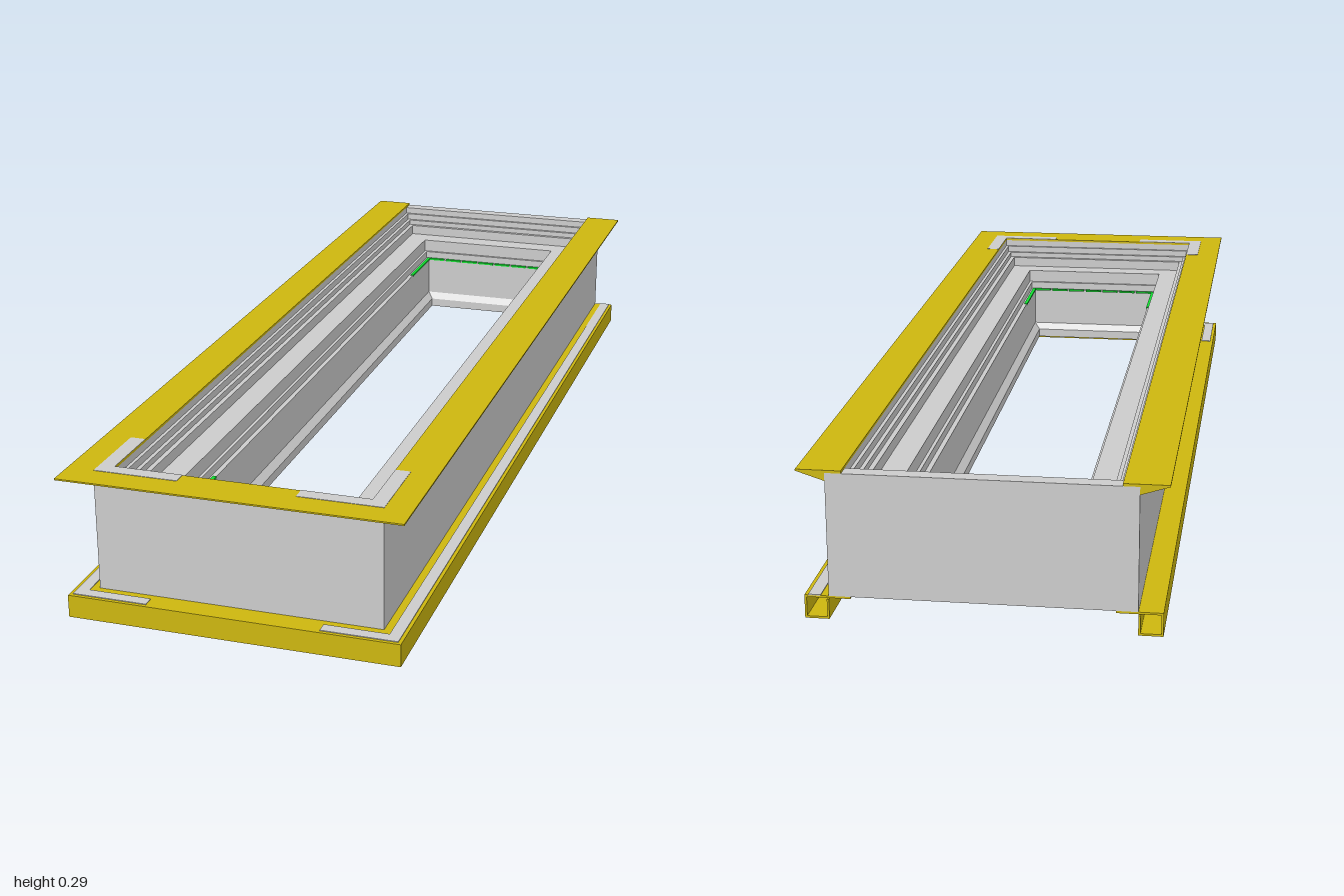
import * as THREE from 'three';

const grey = new THREE.MeshStandardMaterial({ color: 0xcccccc, flatShading: true });
const gold = new THREE.MeshStandardMaterial({ color: 0xccb60f, flatShading: true });
const green = new THREE.MeshStandardMaterial({ color: 0x10e030, flatShading: true });

// Distance from the long axis -> matching front and back position
const frontZ = d => d + 0.667;
const backZ = d => -(d + 0.72);

// Sweeps a counter-clockwise profile of [distance, height] points around the
// frame: a closed ring, or a U that is cut off square at the back.
function sweep(name, profile, material, ring) {
  const corner = (i, [d, y]) => [
    i < 2 ? d : -d, y, i === 1 || i === 2 ? frontZ(d) : ring ? backZ(d) : -1,
  ];
  const pos = [];
  const quad = (a, b, c, d) => pos.push(...a, ...b, ...c, ...a, ...c, ...d);
  for (let s = 0; s < (ring ? 4 : 3); s++) {
    const e = (s + 1) % 4;
    profile.forEach((p, i) => {
      const q = profile[(i + 1) % profile.length];
      quad(corner(s, p), corner(s, q), corner(e, q), corner(e, p));
    });
  }
  if (!ring) {
    const pts = profile.map(p => new THREE.Vector2(...p));
    for (const [a, b, c] of THREE.ShapeUtils.triangulateShape(pts, [])) {
      pos.push(...[c, b, a].flatMap(i => corner(0, profile[i])));
      pos.push(...[a, b, c].flatMap(i => corner(3, profile[i])));
    }
  }
  const geo = new THREE.BufferGeometry();
  geo.setAttribute('position', new THREE.Float32BufferAttribute(pos, 3));
  geo.computeVertexNormals();
  const mesh = new THREE.Mesh(geo, material);
  mesh.name = name;
  return mesh;
}

// Box given by its limits
function box(name, x0, x1, y0, y1, z0, z1, material) {
  const mesh = new THREE.Mesh(
    new THREE.BoxGeometry(Math.abs(x1 - x0), y1 - y0, z1 - z0), material);
  mesh.position.set((x0 + x1) / 2, (y0 + y1) / 2, (z0 + z1) / 2);
  mesh.name = name;
  return mesh;
}

export function createModel() {
  const model = new THREE.Group();
  model.name = 'rectangularFrame';

  // Main frame: plain outer wall, stepped and rebated inner wall
  model.add(sweep('frameBody', [
    [0.28, 0.045], [0.28, 0.28], [0.25, 0.28], [0.25, 0.265], [0.243, 0.265],
    [0.243, 0.25], [0.235, 0.25], [0.235, 0.238], [0.225, 0.238], [0.225, 0.215],
    [0.175, 0.215], [0.175, 0.185], [0.168, 0.185], [0.168, 0.168], [0.158, 0.168],
    [0.158, 0.075], [0.145, 0.06], [0.145, 0.04], [0.158, 0.04], [0.165, 0.045],
  ], grey, true));

  // Top flange with bevelled underside, open at the back
  model.add(sweep('topFlange', [
    [0.28, 0.265], [0.333, 0.282], [0.333, 0.285], [0.25, 0.285], [0.25, 0.28], [0.28, 0.28],
  ], gold, false));

  // Hollow bottom rail, open at the back
  model.add(sweep('bottomRail', [
    [0.28, 0], [0.325, 0], [0.325, 0.045], [0.24, 0.045], [0.24, 0.041],
    [0.321, 0.041], [0.321, 0.004], [0.284, 0.004], [0.284, 0.038], [0.28, 0.038],
  ], gold, false));

  for (const s of [1, -1]) {
    // L-shaped corner plates on the top flange
    const plate = new THREE.Group();
    plate.name = s > 0 ? 'leftCornerPlate' : 'rightCornerPlate';
    plate.add(box('sidePlate', s * 0.25, s * 0.28, 0.2845, 0.2858, 0.78, 0.945, grey));
    plate.add(box('frontPlate', s * 0.115, s * 0.25, 0.2845, 0.2858, 0.917, 0.945, grey));
    model.add(plate);

    // Sealing strips on the bottom rail, one long and one short
    model.add(box('sideSealStrip', s * 0.295, s * 0.318, 0.044, 0.0465, s > 0 ? -1 : 0.8, 0.985, grey));
    model.add(box('frontSealStrip', s * 0.17, s * 0.295, 0.044, 0.0465, 0.962, 0.985, grey));

    // Green marking strips along the ends of the inner side walls
    for (const [z0, z1] of [[-0.882, -0.72], [0.66, 0.825]])
      model.add(box('sideMarker', s * 0.156, s * 0.164, 0.166, 0.17, z0, z1, green));
  }

  // Green marking strips across both inner ends
  for (const z of [-0.88, 0.823])
    for (let i = 0; i < 7; i++) {
      const x = -0.156 + i * 0.0453;
      model.add(box('endMarker', x, x + 0.04, 0.166, 0.17, z - 0.004, z + 0.004, green));
    }

  return model;
}
